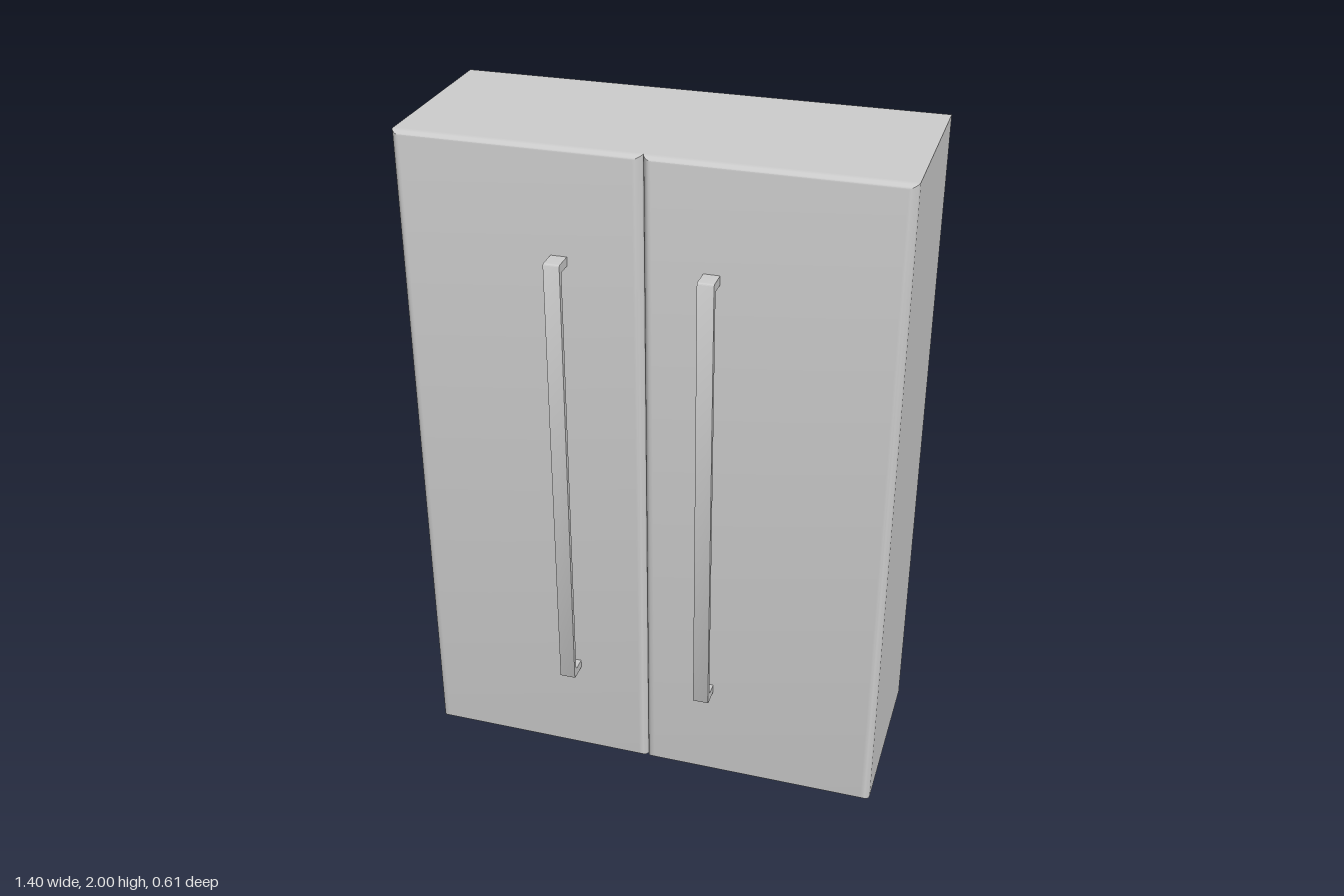
import * as THREE from 'three';
import { toCreasedNormals } from 'three/addons/utils/BufferGeometryUtils.js';

const material = new THREE.MeshStandardMaterial({ color: 0xcccccc });

function addMesh(parent, name, geometry, x = 0, y = 0, z = 0) {
  const mesh = new THREE.Mesh(geometry, material);
  mesh.name = name;
  mesh.position.set(x, y, z);
  parent.add(mesh);
  return mesh;
}

// Door slab whose front edges roll over in a quarter ellipse; the back stays square
function doorGeometry(width, height, depth, insetX, insetY) {
  const steps = 6;
  const geometry = new THREE.BoxGeometry(width, height, depth, 1, 1, steps);
  const pos = geometry.attributes.position;
  for (let i = 0; i < pos.count; i++) {
    const t = pos.getZ(i) / depth + 0.5;
    const angle = t * Math.PI / 2;
    const inset = 1 - Math.cos(angle);
    pos.setXYZ(
      i,
      pos.getX(i) - Math.sign(pos.getX(i)) * insetX * inset,
      pos.getY(i) - Math.sign(pos.getY(i)) * insetY * inset,
      depth * Math.sin(angle)
    );
  }
  return toCreasedNormals(geometry, 0.6);
}

// U-shaped pull: profile drawn as (forward, up), extruded sideways
function handleGeometry(width, reach, height, bar, post) {
  const r = 0.008;
  const s = new THREE.Shape();
  s.moveTo(0, 0);
  s.lineTo(reach - r, 0);
  s.quadraticCurveTo(reach, 0, reach, r);
  s.lineTo(reach, height - r);
  s.quadraticCurveTo(reach, height, reach - r, height);
  s.lineTo(0, height);
  s.lineTo(0, height - post);
  s.lineTo(reach - bar - r, height - post);
  s.quadraticCurveTo(reach - bar, height - post, reach - bar, height - post - r);
  s.lineTo(reach - bar, post + r);
  s.quadraticCurveTo(reach - bar, post, reach - bar - r, post);
  s.lineTo(0, post);
  s.closePath();
  const geometry = new THREE.ExtrudeGeometry(s, { depth: width, bevelEnabled: false, curveSegments: 4 });
  geometry.rotateY(-Math.PI / 2);
  geometry.translate(width / 2, 0, 0);
  return toCreasedNormals(geometry, 0.6);
}

export function createModel() {
  const model = new THREE.Group();
  model.name = 'cabinet';

  const halfWidth = 0.70, bottom = 0.02, top = 2;
  const back = -0.305, doorBack = 0.22, doorFront = 0.245;
  const height = top - bottom, midY = (top + bottom) / 2;
  const seam = -0.005;

  // Carcass and recessed plinth
  addMesh(model, 'carcass', new THREE.BoxGeometry(halfWidth * 2, height, doorBack - back),
    0, midY, (doorBack + back) / 2);
  addMesh(model, 'plinth', new THREE.BoxGeometry(1.2, bottom, 0.44), 0, bottom / 2, -0.04);

  // Two doors meeting at the seam, each with its pull
  const doors = [
    { name: 'right', from: -halfWidth, to: seam, handleX: -0.237 },
    { name: 'left', from: seam, to: halfWidth, handleX: 0.184 },
  ];
  for (const { name, from, to, handleX } of doors) {
    addMesh(model, name + 'Door',
      doorGeometry(to - from, height, doorFront - doorBack, 0.025, 0.012),
      (from + to) / 2, midY, doorBack);
    addMesh(model, name + 'Handle', handleGeometry(0.046, 0.06, 1.37, 0.015, 0.026),
      handleX, 0.33, doorFront);
  }
  return model;
}
